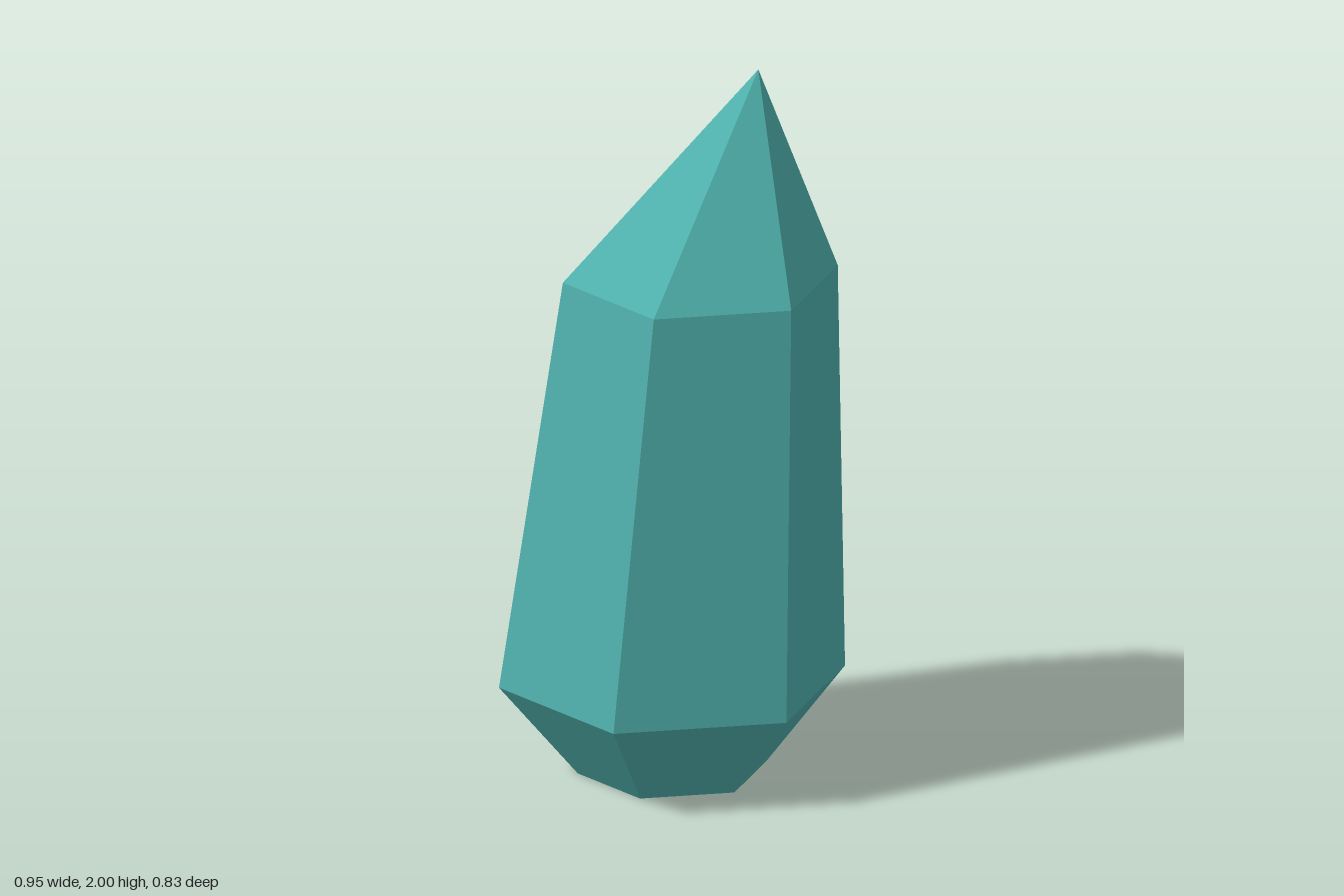
import * as THREE from 'three';

const SIDES = 6;

// Hexagonal cross-sections from the base centre to the tip: height, radius, sideways shift
const SECTIONS = [
  { y: 0, r: 0, x: 0 },
  { y: 0, r: 0.26, x: 0 },
  { y: 0.262, r: 0.477, x: 0 },
  { y: 1.42, r: 0.379, x: 0.078 },
  { y: 2, r: 0, x: 0.238 },
];

function corner({ y, r, x }, k) {
  const a = (k % SIDES) * Math.PI * 2 / SIDES;
  return [x + r * Math.cos(a), y, r * Math.sin(a)];
}

// Flat facets between neighbouring cross-sections; a zero radius closes to a point
function crystalGeometry() {
  const positions = [];
  for (let i = 0; i < SECTIONS.length - 1; i++) {
    const low = SECTIONS[i], high = SECTIONS[i + 1];
    for (let k = 0; k < SIDES; k++) {
      const a = corner(low, k), b = corner(low, k + 1);
      const c = corner(high, k), d = corner(high, k + 1);
      if (low.r > 0) positions.push(...a, ...c, ...b);
      if (high.r > 0) positions.push(...b, ...c, ...d);
    }
  }
  const geometry = new THREE.BufferGeometry();
  geometry.setAttribute('position', new THREE.Float32BufferAttribute(positions, 3));
  geometry.computeVertexNormals();
  return geometry;
}

export function createModel() {
  const teal = new THREE.MeshStandardMaterial({ color: 0x4fb0ac });
  teal.name = 'teal crystal';
  teal.flatShading = true;

  const crystal = new THREE.Mesh(crystalGeometry(), teal);
  crystal.name = 'crystal';

  const model = new THREE.Group();
  model.name = 'crystalShard';
  model.add(crystal);
  return model;
}
